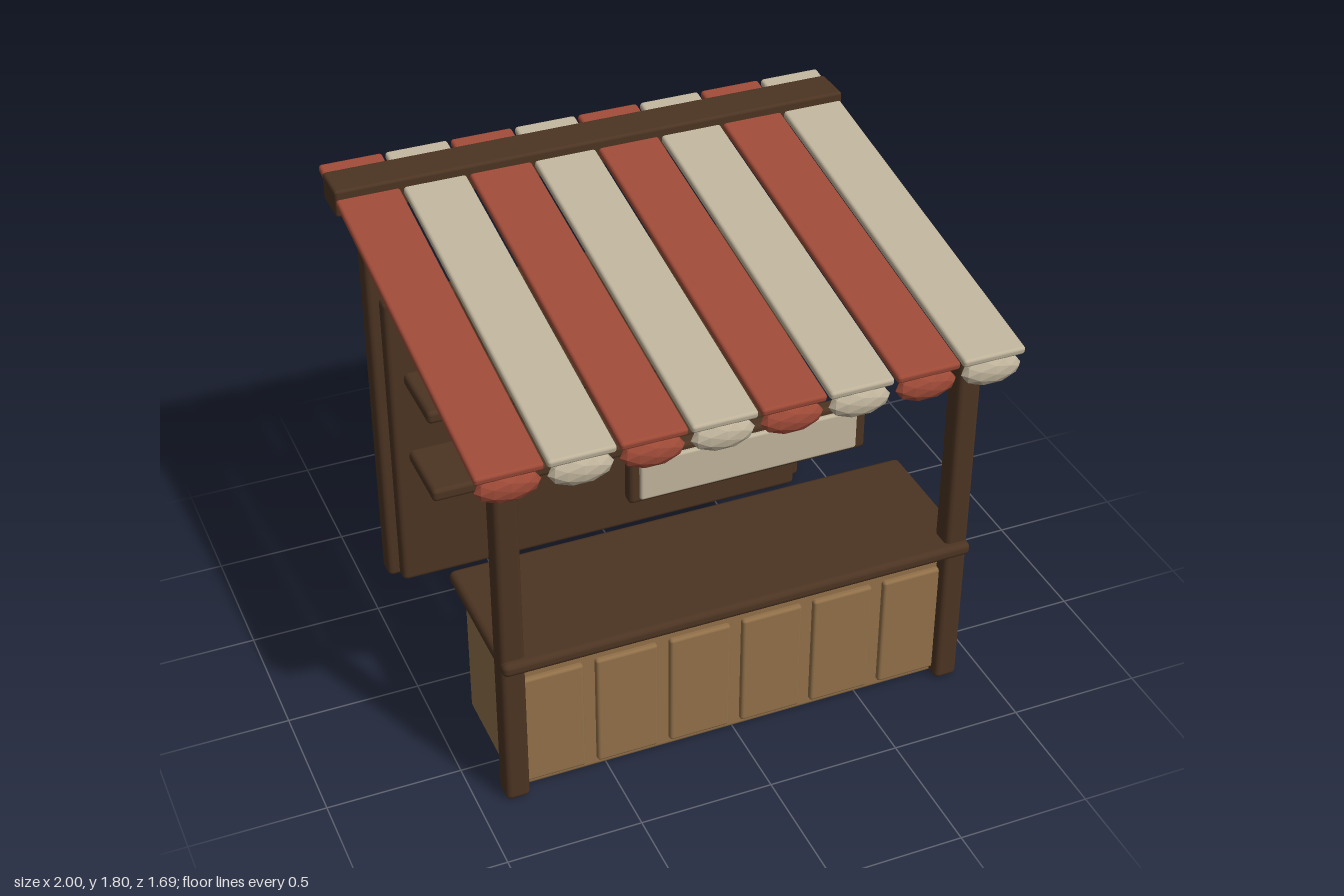
import * as THREE from 'three';
import { RoundedBoxGeometry } from 'three/addons/geometries/RoundedBoxGeometry.js';

function material(name, color) {
  const m = new THREE.MeshStandardMaterial({ color });
  m.name = name;
  return m;
}

export function createModel() {
  const stall = new THREE.Group();
  stall.name = 'marketStall';

  const darkWood = material('dark wood', 0x4c3422);
  const lightWood = material('light wood', 0x917049);
  const red = material('red cloth', 0x9e4a37);
  const cream = material('cream cloth', 0xbfb39b);

  // Bevelled box given by its [min, max] extents on each axis
  function box(name, mat, [x0, x1], [y0, y1], [z0, z1], bevel, parent = stall) {
    const geometry = new RoundedBoxGeometry(x1 - x0, y1 - y0, z1 - z0, 2, bevel);
    const mesh = new THREE.Mesh(geometry, mat);
    mesh.position.set((x0 + x1) / 2, (y0 + y1) / 2, (z0 + z1) / 2);
    mesh.name = name;
    parent.add(mesh);
    return mesh;
  }

  // Corner posts
  for (const [side, x] of [['Left', 0.855], ['Right', -0.855]]) {
    const span = [x - 0.045, x + 0.045];
    box('frontPost' + side, darkWood, span, [0, 1.515], [0.63, 0.72], 0.02);
    box('backPost' + side, darkWood, span, [0, 1.53], [-0.76, -0.67], 0.02);
  }

  // Back wall and its shelves
  box('backWall', darkWood, [-0.855, 0.855], [0, 1.295], [-0.7, -0.62], 0.02);
  box('lowerShelf', darkWood, [-0.795, 0.79], [0.565, 0.62], [-0.64, -0.335], 0.018);
  box('upperShelf', darkWood, [-0.795, 0.79], [0.92, 0.975], [-0.64, -0.335], 0.018);

  // Counter with six raised front panels
  box('counterBody', lightWood, [-0.85, 0.85], [0, 0.6], [0.175, 0.665], 0.018);
  box('counterTop', darkWood, [-0.9, 0.9], [0.588, 0.642], [0.16, 0.748], 0.022);
  for (let i = 0; i < 6; i++) {
    const x = (i - 2.5) * 0.281;
    box('counterPanel', lightWood, [x - 0.117, x + 0.117], [0.035, 0.505], [0.645, 0.685], 0.012);
  }

  // Sign board between the front posts
  box('signFrame', darkWood, [-0.435, 0.435], [1.2, 1.4], [0.7, 0.752], 0.016);
  box('signPanel', cream, [-0.4, 0.395], [1.218, 1.375], [0.735, 0.766], 0.01);

  // Ridge beam across the rear of the awning
  box('ridgeBeam', darkWood, [-0.998, 0.998], [1.69, 1.797], [-0.782, -0.622], 0.012);

  // Sloping awning strips, each ending in a faceted hanging scallop
  const awning = new THREE.Group();
  awning.name = 'awning';
  stall.add(awning);
  const slope = Math.atan2(0.282, 1.67);
  const scallopGeometry = new THREE.IcosahedronGeometry(1, 1).scale(0.115, 0.058, 0.041);
  scallopGeometry.computeVertexNormals();
  for (let i = 0; i < 8; i++) {
    const x = (i - 3.5) * 0.25;
    const cloth = i % 2 ? cream : red;
    const strip = box('awningStrip', cloth, [x - 0.119, x + 0.119], [1.626, 1.658], [-0.855, 0.843], 0.012, awning);
    strip.rotation.x = slope;
    const scallop = new THREE.Mesh(scallopGeometry, cloth);
    scallop.position.set(x, 1.445, 0.807);
    scallop.name = 'awningScallop';
    awning.add(scallop);
  }

  return stall;
}
